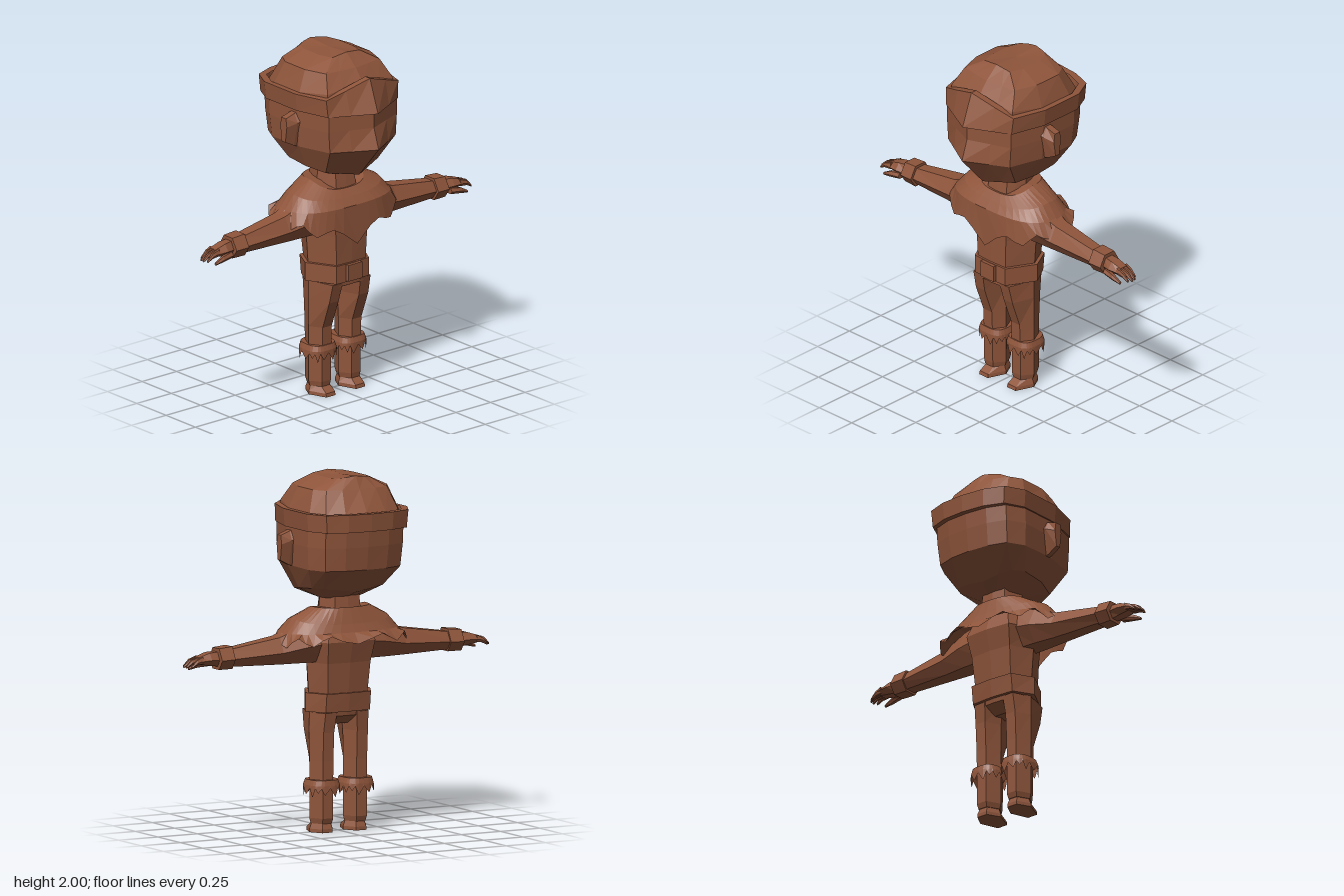
import * as THREE from 'three';

const material = new THREE.MeshStandardMaterial({ color: 0x8f553b, flatShading: true, side: THREE.DoubleSide });

// Skin a list of rings (equal point counts); flip mirrors the part across x = 0.
function loft(rings, { flip = false, capStart = true, capEnd = true } = {}) {
  if (flip) rings = rings.map(r => r.map(([x, y, z]) => [-x, y, z]).reverse());
  const pos = [];
  const tri = (a, b, c) => pos.push(...a, ...b, ...c);
  const n = rings[0].length;
  const centre = r => [0, 1, 2].map(k => r.reduce((s, p) => s + p[k], 0) / n);
  for (let i = 0; i < rings.length - 1; i++) {
    for (let j = 0; j < n; j++) {
      const k = (j + 1) % n, a = rings[i], b = rings[i + 1];
      tri(a[j], a[k], b[k]);
      tri(a[j], b[k], b[j]);
    }
  }
  const first = rings[0], last = rings[rings.length - 1];
  for (let j = 0; j < n; j++) {
    const k = (j + 1) % n;
    if (capStart) tri(centre(first), first[k], first[j]);
    if (capEnd) tri(centre(last), last[j], last[k]);
  }
  const g = new THREE.BufferGeometry();
  g.setAttribute('position', new THREE.Float32BufferAttribute(pos, 3));
  g.computeVertexNormals();
  return g;
}

// Half outline, front centre to back centre, mirrored into a full ring.
const sym = half => [...half, ...half.slice(1, -1).reverse().map(([x, y, z]) => [-x, y, z])];

// Head cross-section: half width, front centre, cheek edge, back; k lifts the sides.
function headRing(yFront, yBack, w, f, e, b, k = 0) {
  const half = [[0, f], [.45, f * .45 + e * .55], [.82, e], [1, e * .2], [1, b * .56], [.82, b * .86], [.45, b * .97], [0, b]];
  return sym(half.map(([u, z]) => [u * w, yBack + (yFront - yBack) * (z - b) / (f - b) + k * u, z]));
}

// Six-sided horizontal section for legs.
function legRing(cx, y, hx, zf, zb, zm = 0) {
  const h = hx * .45;
  return [[cx - h, y, zf], [cx + h, y, zf], [cx + hx, y, zm], [cx + h, y, zb], [cx - h, y, zb], [cx - hx, y, zm]];
}

// Six-sided section across the arm at a given x.
function armRing(x, top, bottom, zf, zb) {
  const mid = bottom + (top - bottom) * .45, c = (zf + zb) / 2, h = (zf - zb) / 4;
  return [[x, top, c - h], [x, top, c + h], [x, mid, zf], [x, bottom, c + h], [x, bottom, c - h], [x, mid, zb]];
}

// Rounded-rectangle ring of n points; yOf(angle, index) gives the height.
function softRing(n, cx, rx, zf, zb, yOf, power = .75) {
  return Array.from({ length: n }, (_, i) => {
    const a = i / n * Math.PI * 2, s = Math.sin(a), c = Math.cos(a);
    const x = Math.sign(s) * Math.abs(s) ** power, z = Math.abs(c) ** power;
    return [cx + rx * x, yOf(a, i), c >= 0 ? zf * z : zb * z];
  });
}

export function createModel() {
  const model = new THREE.Group();
  const add = (name, geometry) => {
    const mesh = new THREE.Mesh(geometry, material);
    mesh.name = name;
    model.add(mesh);
  };
  const pair = (name, rings, options = {}) => {
    add(name + 'Left', loft(rings, options));
    add(name + 'Right', loft(rings, { ...options, flip: true }));
  };

  // Head with pointed chin ridge and faceted scalp
  add('head', loft([
    headRing(1.3, 1.31, .11, .14, .1, -.09),
    headRing(1.31, 1.35, .23, .22, .155, -.2, .035),
    headRing(1.5, 1.49, .29, .385, .25, -.325),
    headRing(1.62, 1.62, .3, .345, .25, -.342),
    headRing(1.72, 1.72, .3, .345, .25, -.35),
    headRing(1.86, 1.81, .285, .245, .225, -.325, -.03),
    headRing(1.93, 1.93, .235, .19, .165, -.245),
    headRing(2, 2, .12, .11, .105, -.2, -.015),
  ]));

  // Headband, peaked over the brow
  const brow = ring => ring.map(([x, y, z]) => [x, z > .15 ? 1.9 - .09 * Math.min(1, Math.abs(x) / .25) : y, z]);
  add('headband', loft([
    headRing(1.71, 1.71, .285, .33, .23, -.33),
    headRing(1.71, 1.71, .308, .38, .252, -.38),
    brow(headRing(1.81, 1.81, .318, .31, .245, -.385)),
    brow(headRing(1.81, 1.81, .285, .27, .215, -.345)),
  ], { capStart: false, capEnd: false }));

  // Ears
  const earRing = (x, y0, y1, z0, z1) => {
    const m = (z0 + z1) / 2;
    return [[x, y1, m - .02], [x, y1, m + .02], [x, y1 - .05, z1], [x, y0, m + .015], [x, y0, m - .015], [x, y1 - .05, z0]];
  };
  pair('ear', [
    earRing(.28, 1.49, 1.7, -.04, .07),
    earRing(.31, 1.5, 1.69, -.035, .06),
    earRing(.368, 1.53, 1.67, -.02, .035),
  ]);

  // Neck and torso
  const bodyRing = (y, w, f, b) => sym([[0, y, f], [w * .57, y, f * .97], [w, y, 0], [w * .68, y, b * .93], [0, y, b]]);
  add('neck', loft([bodyRing(1.15, .13, .12, -.13), bodyRing(1.34, .112, .09, -.11)]));
  add('torso', loft([
    bodyRing(.6, .06, .05, -.04),
    bodyRing(.65, .178, .155, -.1),
    bodyRing(.78, .185, .155, -.12),
    bodyRing(.95, .198, .158, -.14),
    bodyRing(1.07, .22, .16, -.17),
    bodyRing(1.21, .15, .1, -.12),
  ]));

  // Belt and buckle
  add('belt', loft([bodyRing(.675, .206, .168, -.122), bodyRing(.78, .206, .168, -.135)]));
  const buckle = new THREE.BoxGeometry(.1, .095, .03);
  buckle.translate(0, .73, .172);
  add('buckle', buckle);

  // Shoulder cape with a ragged hem
  const n = 40;
  const collar = a => 1.255 - .05 * Math.max(0, Math.cos(a));
  const hem = (a, i) => {
    const front = Math.max(0, Math.cos(a)), back = Math.max(0, -Math.cos(a));
    const notch = [0, .03, .05, .02][i % 4];
    return 1.045 - .09 * front ** 2 + .02 * back + notch - (i === 0 ? .055 : 0);
  };
  add('cape', loft([
    softRing(n, 0, .11, .1, -.115, collar),
    softRing(n, 0, .17, .125, -.14, a => collar(a) + .005),
    softRing(n, 0, .29, .16, -.17, a => 1.2 - .03 * Math.abs(Math.cos(a))),
    softRing(n, 0, .35, .195, -.19, () => 1.125),
    softRing(n, 0, .395, .205, -.235, hem),
  ], { capStart: false, capEnd: false }));

  // Arms and wrist cuffs
  pair('arm', [
    armRing(.1, 1.2, .955, .12, -.12),
    armRing(.25, 1.16, .955, .11, -.11),
    armRing(.39, 1.105, .955, .09, -.085),
    armRing(.72, 1.055, .962, .07, -.052),
  ]);
  pair('wristCuff', [armRing(.685, 1.075, .95, .088, -.066), armRing(.77, 1.068, .95, .082, -.066)]);

  // Hands with curled fingers and a thumb
  pair('palm', [
    armRing(.75, 1.05, .965, .055, -.035),
    armRing(.82, 1.045, .975, .07, -.04),
    armRing(.885, 1.025, .985, .062, -.035),
  ]);
  [-.02, .003, .026, .048].forEach((z, i) => {
    const reach = [-.025, -.004, 0, -.012][i];
    pair('finger' + (i + 1), [
      armRing(.87, 1.028, .99, z + .013, z - .013),
      armRing(.93 + reach, 1.012, .985, z + .012, z - .012),
      armRing(.964 + reach, .98, .968, z + .008, z - .008),
    ]);
  });
  pair('thumb', [
    armRing(.79, 1.0, .965, .08, .03),
    armRing(.86, .99, .958, .085, .052),
    armRing(.91, .962, .948, .075, .058),
  ]);

  // Legs
  pair('leg', [
    legRing(.107, .05, .065, .06, -.07),
    legRing(.107, .08, .073, .065, -.08),
    legRing(.107, .28, .073, .068, -.08),
    legRing(.107, .4, .073, .072, -.082),
    legRing(.107, .56, .075, .13, -.09),
    legRing(.1, .67, .08, .155, -.105),
  ]);

  // Boot cuffs with a toothed lower edge
  pair('bootCuff', [
    softRing(28, .107, .094, .085, -.108, (a, i) => i % 2 ? .2 + .012 * (i % 3) : .25, .7),
    softRing(28, .107, .092, .085, -.106, () => .265, .7),
    softRing(28, .107, .082, .075, -.1, () => .295, .7),
  ], { capStart: false });

  // Feet
  pair('foot', [
    legRing(.107, 0, .073, .105, -.075),
    legRing(.107, .02, .072, .1, -.075),
    legRing(.107, .062, .055, .04, -.06),
  ]);

  return model;
}
